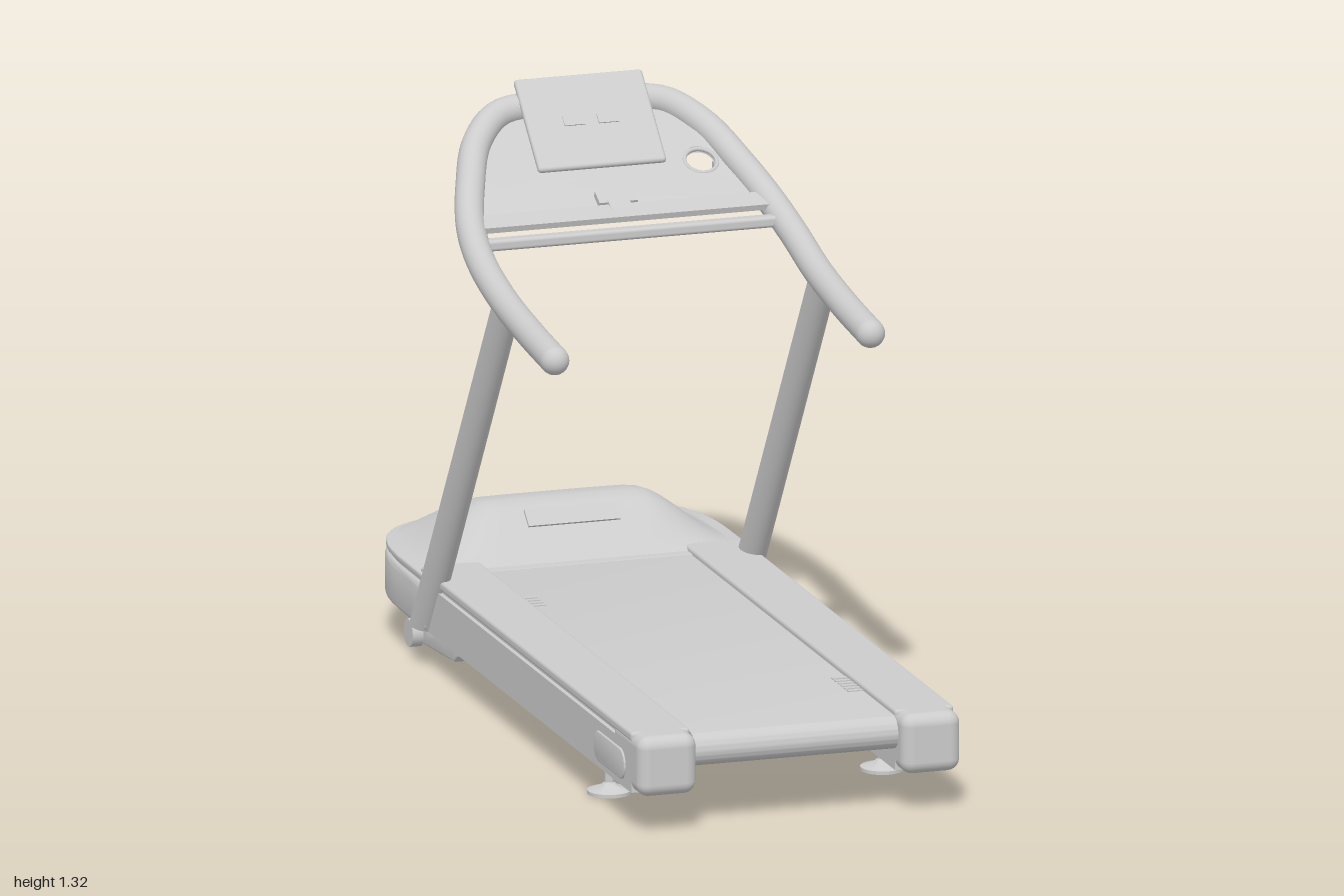
import * as THREE from 'three';
import { toCreasedNormals } from 'three/addons/utils/BufferGeometryUtils.js';
import { RoundedBoxGeometry } from 'three/addons/geometries/RoundedBoxGeometry.js';

const V = (x, y, z) => new THREE.Vector3(x, y, z);

export function createModel() {
  const root = new THREE.Group();
  const grey = new THREE.MeshStandardMaterial({ color: 0xcccccc, side: THREE.DoubleSide });

  const add = (name, geo, x = 0, y = 0, z = 0) => {
    const m = new THREE.Mesh(geo, grey);
    m.name = name;
    m.position.set(x, y, z);
    root.add(m);
    return m;
  };
  const box = (name, w, h, d, x, y, z) => add(name, new THREE.BoxGeometry(w, h, d), x, y, z);
  const shapeOf = (pts) => new THREE.Shape(pts.map((p) => new THREE.Vector2(p[0], p[1])));
  const extrude = (shape, depth, bevel) => new THREE.ExtrudeGeometry(shape, {
    depth: depth - 2 * bevel, bevelEnabled: bevel > 0, bevelSize: bevel, bevelThickness: bevel,
    bevelOffset: -bevel, bevelSegments: 3, curveSegments: 16,
  }).translate(0, 0, bevel);
  // plan shape (x, -z) raised from y0 to y1
  const plan = (shape, y0, y1, bevel = 0) =>
    toCreasedNormals(extrude(shape, y1 - y0, bevel).rotateX(-Math.PI / 2).translate(0, y0, 0), 0.6);
  // side shape (z, y) spread across a width centred on x = 0
  const side = (shape, width, bevel = 0) =>
    toCreasedNormals(extrude(shape, width, bevel).translate(0, 0, -width / 2).rotateY(-Math.PI / 2), 0.6);
  const stadium = (a0, a1, b0, b1) => {
    const r = (b1 - b0) / 2, s = new THREE.Shape();
    s.moveTo(a0 + r, b0);
    s.lineTo(a1 - r, b0);
    s.absarc(a1 - r, b0 + r, r, -Math.PI / 2, Math.PI / 2);
    s.lineTo(a0 + r, b1);
    s.absarc(a0 + r, b0 + r, r, Math.PI / 2, Math.PI * 1.5);
    return s;
  };

  // running belt wrapped round its rollers, with small stripe marks
  add('runningBelt', side(stadium(-0.62, 0.97, 0.14, 0.217), 0.476));
  for (let i = 0; i < 6; i++) {
    box('beltMark', 0.035, 0.003, 0.012, 0.22, 0.218, 0.605 + i * 0.022);
    if (i < 4) box('beltMark', 0.035, 0.003, 0.012, -0.222, 0.218, -0.26 + i * 0.022);
  }

  // parts that repeat on both sides
  for (const s of [-1, 1]) {
    box('sideRail', 0.138, 0.107, 1.5, s * 0.309, 0.1435, 0.19);
    box('railGroove', 0.125, 0.012, 1.5, s * 0.306, 0.201, 0.19);
    add('railTop', new RoundedBoxGeometry(0.138, 0.023, 1.5, 3, 0.008), s * 0.309, 0.2165, 0.19);
    add('endCap', new RoundedBoxGeometry(0.138, 0.138, 0.2, 4, 0.028), s * 0.309, 0.159, 0.9);
    add('sideInset', side(stadium(0.68, 0.9, 0.105, 0.175), 0.012, 0.003), s * 0.376);

    // slanted oval upright, sheared to lean forward
    const up = new THREE.CylinderGeometry(1, 1, 0.885, 32).scale(0.029, 1, 0.054);
    up.applyMatrix4(new THREE.Matrix4().set(
      1, 0, 0, 0, 0, 1, 0, 0.5325, 0, 0.663, 1, -0.263, 0, 0, 0, 1));
    add('upright', up, s * 0.371);

    // adjustable rear foot
    const foot = [[0, 0], [0.05, 0], [0.05, 0.008], [0.02, 0.018], [0.011, 0.026], [0.011, 0.1], [0, 0.1]];
    add('rearFoot', toCreasedNormals(new THREE.LatheGeometry(
      foot.map((p) => new THREE.Vector2(p[0], p[1])), 24), 0.6), s * 0.32, 0, 0.607);
    box('footMount', 0.08, 0.015, 0.07, s * 0.31, 0.083, 0.607);

    // transport wheel and its arm
    add('wheelArm', side(shapeOf([[-0.43, 0.095], [-0.44, 0.045], [-0.46, 0.028], [-0.54, 0.022],
      [-0.69, 0.012], [-0.71, 0.05], [-0.62, 0.055], [-0.56, 0.062], [-0.54, 0.095]]), 0.045, 0.005), s * 0.31);
    for (const o of [-0.035, 0.035]) {
      add('transportWheel', new THREE.CylinderGeometry(0.032, 0.032, 0.026, 24).rotateZ(Math.PI / 2),
        s * 0.31 + o, 0.035, -0.705);
    }
  }
  box('footCrossbar', 0.6, 0.03, 0.03, 0, 0.115, 0.607);

  // motor housing: plan outline with rounded rear corners
  const W = 0.388, N = 48;
  const backZ = (u) => -0.6 - 0.4 * Math.pow(Math.max(0, 1 - Math.pow(Math.abs(u), 3.5)), 1 / 3.5);
  const outline = (inset) => {
    const pts = [[-W + inset, 0.5], [W - inset, 0.5]];
    for (let i = 0; i <= N; i++) {
      const u = Math.sin(Math.PI * (0.5 - i / N));
      pts.push([u * (W - inset), -backZ(u) - inset]);
    }
    return shapeOf(pts);
  };
  add('housingSkirt', plan(outline(0), 0.09, 0.197, 0.014));
  add('housingGroove', plan(outline(0.009), 0.19, 0.21));
  add('housingRim', plan(outline(0.002), 0.204, 0.218, 0.003));

  // domed hood: one profile front to back, fading towards the sides
  const rise = new THREE.SplineCurve([[0, 0], [0.06, 0.03], [0.22, 0.6], [0.31, 0.88], [0.38, 0.99], [0.46, 1],
    [0.6, 0.87], [0.78, 0.58], [0.93, 0.25], [1, 0]].map((p) => new THREE.Vector2(p[0], p[1])));
  const hood = new THREE.PlaneGeometry(1, 1, N, 40);
  const hp = hood.attributes.position;
  for (let j = 0, k = 0; j <= 40; j++) {
    const p = rise.getPoint(1 - j / 40);
    for (let i = 0; i <= N; i++, k++) {
      const u = Math.sin(Math.PI * (i / N - 0.5));
      const fade = 1 - THREE.MathUtils.smoothstep(Math.abs(u), 0.45, 1.0);
      hp.setXYZ(k, u * (W - 0.006), 0.214 + 0.109 * p.y * fade,
        THREE.MathUtils.lerp(-0.5, backZ(u) + 0.006, p.x));
    }
  }
  hood.computeVertexNormals();
  add('hood', hood);
  box('hoodPlate', 0.215, 0.006, 0.045, 0, 0.297, -0.626).rotation.x = 0.72;

  // tapered pan beneath the housing
  const pan = new THREE.BoxGeometry(0.5, 0.052, 0.3);
  const pp = pan.attributes.position;
  for (let i = 0; i < pp.count; i++) {
    if (pp.getY(i) < 0) {
      pp.setX(i, pp.getX(i) * 0.8);
      if (pp.getZ(i) < 0) pp.setZ(i, -0.11);
    }
  }
  add('underPan', toCreasedNormals(pan, 0.3), 0, 0.068, -0.77);

  // handlebar: one tube swept from grip to grip
  const half = [[0.37, 0.94, 0.37], [0.37, 0.957, 0.2], [0.37, 0.987, 0], [0.367, 1.035, -0.17],
    [0.35, 1.085, -0.29], [0.317, 1.142, -0.39], [0.265, 1.21, -0.5], [0.195, 1.252, -0.562], [0.1, 1.262, -0.576]];
  const bar = [...half.map((p) => V(...p)), V(0, 1.263, -0.578), ...half.map((p) => V(-p[0], p[1], p[2])).reverse()];
  add('handlebar', new THREE.TubeGeometry(new THREE.CatmullRomCurve3(bar), 120, 0.033, 20));
  for (const s of [-1, 1]) add('gripEnd', new THREE.SphereGeometry(0.033, 20, 14), s * 0.37, 0.94, 0.37);

  // console panel following the handlebar's rise, with a cup opening
  const riseY = (z) => 0.985 - 0.19 * z + 0.5 * z * z;
  const edge = [[0.345, 0.27], [0.34, 0.31], [0.318, 0.38], [0.29, 0.44], [0.262, 0.5], [0.2, 0.555], [0.1, 0.57]];
  const panelShape = shapeOf([...edge, ...edge.map((p) => [-p[0], p[1]]).reverse()]);
  const cup = new THREE.Path();
  cup.absarc(0.23, 0.41, 0.036, 0, Math.PI * 2, true);
  panelShape.holes.push(cup);
  const panel = extrude(panelShape, 0.014, 0).rotateX(-Math.PI / 2);
  const cp = panel.attributes.position;
  for (let i = 0; i < cp.count; i++) cp.setY(i, cp.getY(i) + riseY(cp.getZ(i)) - 0.01);
  panel.computeVertexNormals();
  add('consolePanel', toCreasedNormals(panel, 0.5));

  // cup ring and its hanging strap
  const ring = add('cupRing', new THREE.TorusGeometry(0.037, 0.005, 8, 28), 0.23, riseY(-0.41) + 0.002, -0.41);
  ring.rotation.x = Math.PI / 2 + 0.54;
  for (const o of [-0.036, 0.036]) box('cupStrap', 0.005, 0.09, 0.016, 0.23 + o, 1.095, -0.425);
  box('cupStrapBase', 0.077, 0.006, 0.04, 0.23, 1.052, -0.425);

  // lower lip, crossbar and safety key
  box('consoleLip', 0.67, 0.014, 0.055, 0, 1.086, -0.265).rotation.x = 0.3;
  add('crossbar', new RoundedBoxGeometry(0.7, 0.026, 0.032, 3, 0.008), 0, 1.053, -0.213);
  box('keyHolder', 0.09, 0.018, 0.04, 0, 1.105, -0.315).rotation.x = 0.45;
  box('safetyKey', 0.05, 0.022, 0.04, 0, 1.09, -0.285).rotation.x = 0.45;

  // tilted display with two slots
  const display = new THREE.Group();
  display.name = 'display';
  display.position.set(0, 1.236, -0.5);
  display.rotation.x = 0.74;
  const screen = add('screen', new RoundedBoxGeometry(0.3, 0.018, 0.245, 3, 0.008));
  display.add(screen);
  for (const s of [-1, 1]) display.add(box('slot', 0.048, 0.005, 0.025, s * 0.04, 0.009, 0.0));
  display.add(box('displayMount', 0.18, 0.03, 0.1, 0, -0.02, -0.04));
  root.add(display);

  return root;
}
